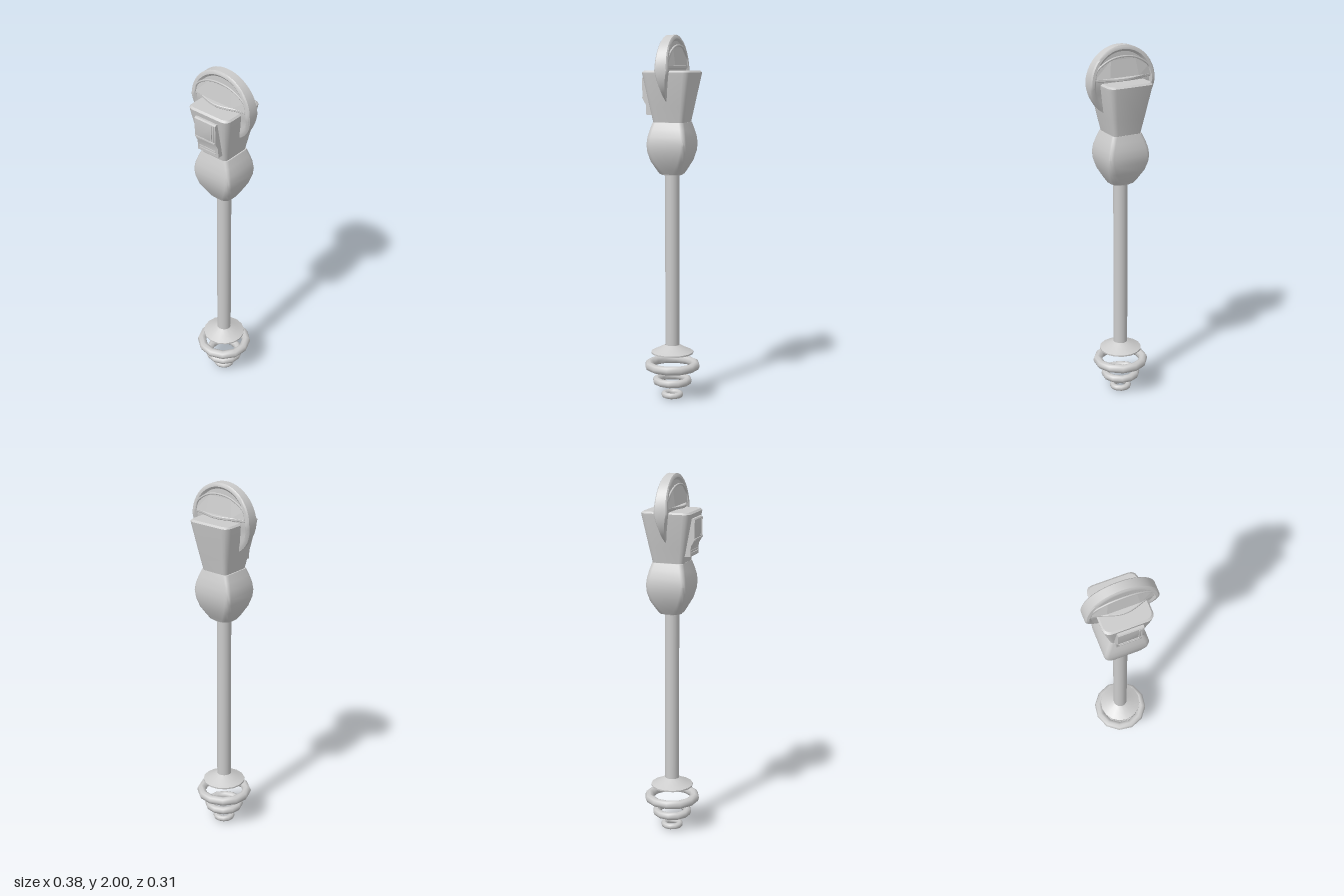
import * as THREE from 'three';
import { toCreasedNormals } from 'three/addons/utils/BufferGeometryUtils.js';

const CREASE = 0.6;

export function createModel() {
  const model = new THREE.Group();
  const grey = new THREE.MeshStandardMaterial({ color: 0xcccccc, side: THREE.DoubleSide });

  function add(name, geometry, parent = model) {
    const mesh = new THREE.Mesh(geometry, grey);
    mesh.name = name;
    parent.add(mesh);
    return mesh;
  }
  const lathe = (pts, n) =>
    toCreasedNormals(new THREE.LatheGeometry(pts.map(p => new THREE.Vector2(...p)), n), CREASE);

  // Rounded-rectangle sections [y, halfX, halfZ, corner] joined into a closed skin
  function loft(sections) {
    const pos = [], index = [], steps = 3, n = 4 * (steps + 1);
    for (const [y, hx, hz, c] of sections) {
      for (let q = 0; q < 4; q++) {
        const sx = q === 0 || q === 3 ? 1 : -1, sz = q < 2 ? 1 : -1;
        for (let s = 0; s <= steps; s++) {
          const a = (q + s / steps) * Math.PI / 2;
          pos.push(sx * (hx - c) + c * Math.cos(a), y, sz * (hz - c) + c * Math.sin(a));
        }
      }
    }
    const last = sections.length - 1, base = pos.length / 3;
    pos.push(0, sections[0][0], 0, 0, sections[last][0], 0);
    for (let i = 0; i < n; i++) {
      const k = (i + 1) % n;
      for (let j = 0; j < last; j++) {
        const a = j * n + i, b = j * n + k;
        index.push(a, a + n, b + n, a, b + n, b);
      }
      index.push(base, i, k, base + 1, last * n + k, last * n + i);
    }
    const g = new THREE.BufferGeometry();
    g.setAttribute('position', new THREE.Float32BufferAttribute(pos, 3));
    g.setIndex(index);
    return toCreasedNormals(g, CREASE);
  }

  // Stacked rings under the pole: [height, outer radius, half height]
  [[0.19, 0.155, 0.025], [0.103, 0.11, 0.022], [0.022, 0.062, 0.017]].forEach(([y, r, t], i) => {
    const g = new THREE.TorusGeometry(r - t, t, 8, 12);
    g.rotateX(Math.PI / 2).rotateY(0.12);
    add('baseRing' + (i + 1), g).position.y = y;
  });

  // Foot flange, pole and collar
  add('footFlange', lathe([[0, 0.26], [0.117, 0.26], [0.117, 0.268], [0.08, 0.285], [0.04, 0.307]], 16));
  add('pole', new THREE.CylinderGeometry(0.039, 0.039, 0.98, 16)).position.y = 0.78;
  add('poleCollar', new THREE.CylinderGeometry(0.062, 0.056, 0.02, 16)).position.y = 1.262;

  // Lower bulb and flared upper housing
  add('lowerHousing', loft([
    [1.258, 0.067, 0.06, 0.04], [1.28, 0.08, 0.071, 0.035], [1.33, 0.105, 0.096, 0.03],
    [1.38, 0.119, 0.108, 0.025], [1.42, 0.122, 0.111, 0.022], [1.46, 0.116, 0.107, 0.022],
    [1.5, 0.103, 0.098, 0.022], [1.537, 0.088, 0.088, 0.022]]));
  add('upperHousing', loft([
    [1.535, 0.081, 0.086, 0.022], [1.62, 0.097, 0.102, 0.025], [1.79, 0.129, 0.134, 0.034],
    [1.802, 0.13, 0.136, 0.035], [1.811, 0.122, 0.126, 0.032]]));

  // Round head, thinning towards the bottom where it sinks into the housing
  const head = new THREE.Group();
  head.name = 'head';
  head.position.y = 1.81;
  model.add(head);
  const disc = new THREE.LatheGeometry(
    [[0, -0.022], [0.158, -0.022], [0.17, -0.033], [0.183, -0.032], [0.19, -0.026],
      [0.19, 0.026], [0.183, 0.032], [0.17, 0.033], [0.158, 0.022], [0, 0.022]]
      .map(p => new THREE.Vector2(...p)), 48);
  disc.rotateX(Math.PI / 2);
  const p = disc.attributes.position;
  for (let i = 0; i < p.count; i++) {
    const y = p.getY(i);
    const f = y < 0 ? Math.max(0.08, 1.15 + y / 0.145) : 1.15 - 0.3 * y / 0.19;
    p.setZ(i, p.getZ(i) * f);
  }
  add('headDisc', toCreasedNormals(disc, CREASE), head);

  // Bowed sill across both faces of the head
  const sill = new THREE.Shape();
  const bow = x => 0.03 + 0.04 * Math.cos(Math.PI * x / 0.35) ** 2;
  const N = 20, outline = [];
  for (let i = 0; i <= N; i++) {
    const x = -0.172 + 0.344 * i / N;
    outline.push(new THREE.Vector2(x, -bow(x)));
  }
  for (let i = N; i >= 0; i--) outline.push(new THREE.Vector2(outline[i].x, -outline[i].y));
  sill.setFromPoints(outline);
  const sillGeo = new THREE.ExtrudeGeometry(sill, {
    depth: 0.01, bevelThickness: 0.003, bevelSize: 0.003, bevelOffset: -0.003, bevelSegments: 1 });
  sillGeo.rotateX(-Math.PI / 2);
  add('windowSill', toCreasedNormals(sillGeo, CREASE), head).position.y = 0.015;

  // Three-panel window with a raised frame, repeated on the back
  const low = [[-0.165, 0.026, 0.03], [-0.085, 0.026, 0.046], [0.085, 0.026, 0.046], [0.165, 0.026, 0.03]];
  const high = [[-0.15, 0.07, 0.027], [-0.072, 0.118, 0.03], [0.072, 0.118, 0.03], [0.15, 0.07, 0.027]];
  const windowGeo = new THREE.BufferGeometry();
  const tri = [];
  for (let i = 0; i < 3; i++) {
    tri.push(...low[i], ...low[i + 1], ...high[i + 1], ...low[i], ...high[i + 1], ...high[i]);
  }
  tri.push(...high[1], ...high[2], 0, 0.132, 0.029);
  windowGeo.setAttribute('position', new THREE.Float32BufferAttribute(tri, 3));
  windowGeo.computeVertexNormals();
  const arc = new THREE.CatmullRomCurve3([
    [-0.166, 0.024, 0.032], [-0.153, 0.07, 0.03], [-0.08, 0.12, 0.034], [0, 0.134, 0.036],
    [0.08, 0.12, 0.034], [0.153, 0.07, 0.03], [0.166, 0.024, 0.032]].map(v => new THREE.Vector3(...v)));
  const frameGeo = new THREE.TubeGeometry(arc, 36, 0.0055, 6);
  for (const side of ['front', 'back']) {
    const face = new THREE.Group();
    face.name = side + 'Window';
    if (side === 'back') face.rotation.y = Math.PI;
    head.add(face);
    add(side + 'WindowPanes', windowGeo, face);
    add(side + 'WindowFrame', frameGeo, face);
  }

  // Coin panel: stepped side profile extruded across the front
  const side = new THREE.Shape([[0.09, 1.575], [0.124, 1.575], [0.127, 1.63], [0.146, 1.665],
    [0.148, 1.77], [0.143, 1.777], [0.09, 1.777]].map(v => new THREE.Vector2(...v)));
  const panel = new THREE.ExtrudeGeometry(side, { depth: 0.136, bevelEnabled: false });
  panel.rotateY(-Math.PI / 2).translate(0.068, 0, 0);
  add('coinPanel', toCreasedNormals(panel, CREASE));

  // Raised details on the coin panel: [name, width, height, depth, x, y, z]
  [['coinSlotLeft', 0.005, 0.09, 0.008, 0.054, 1.722, 0.147],
    ['coinSlotRight', 0.005, 0.09, 0.008, 0.042, 1.722, 0.147],
    ['panelRidge', 0.13, 0.007, 0.008, 0, 1.668, 0.146],
    ['returnSlotTop', 0.106, 0.005, 0.008, 0, 1.607, 0.125],
    ['returnSlotBottom', 0.106, 0.005, 0.008, 0, 1.594, 0.125],
  ].forEach(([name, w, h, d, x, y, z]) =>
    add(name, new THREE.BoxGeometry(w, h, d)).position.set(x, y, z));

  return model;
}
